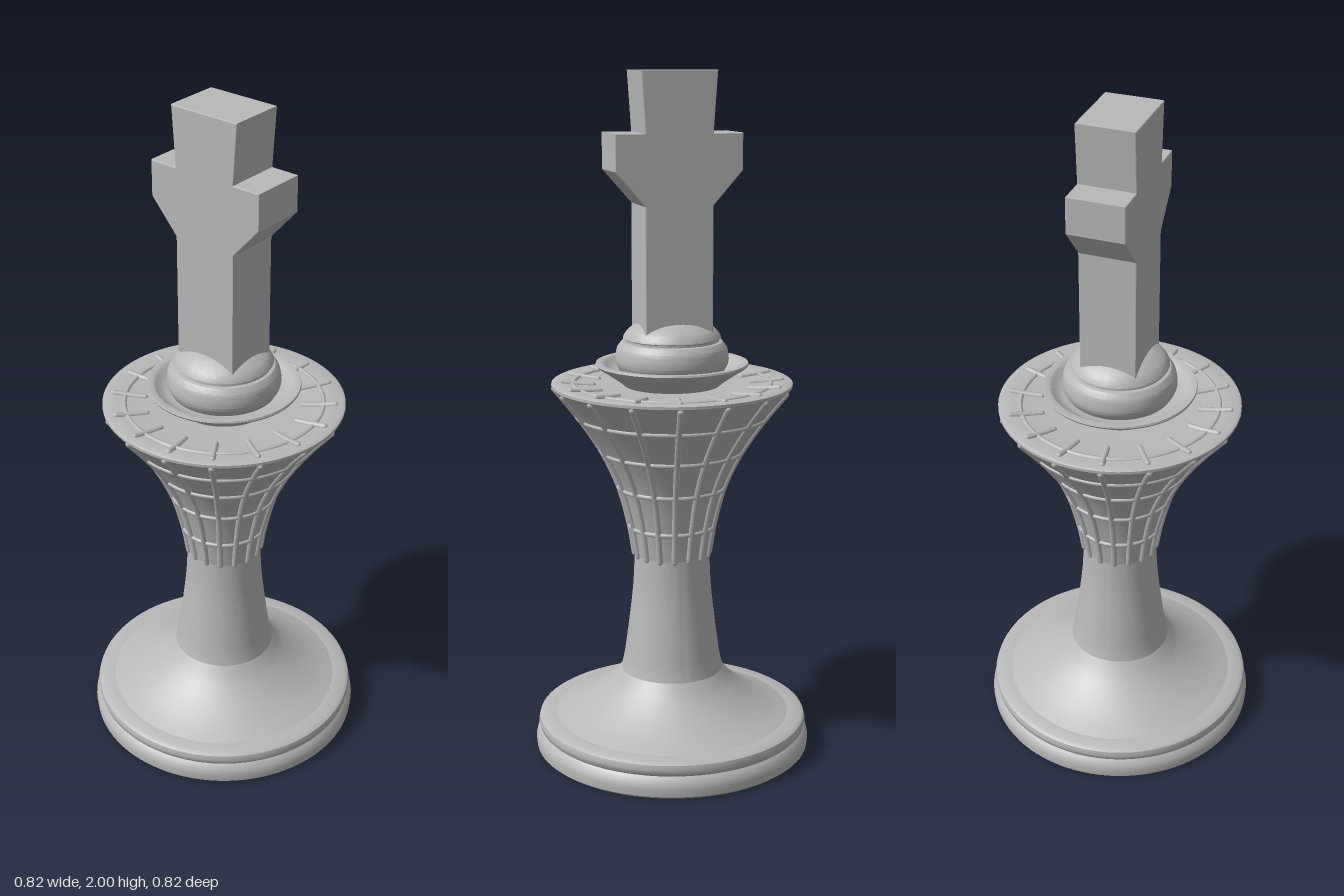
import * as THREE from 'three';
import { toCreasedNormals } from 'three/addons/utils/BufferGeometryUtils.js';

const stone = new THREE.MeshStandardMaterial({ color: 0xb8b8b8 });
stone.name = 'grey stone';

const RIBS = 16;
const vec = (list) => list.map(([r, y]) => new THREE.Vector2(r, y));
const smooth = (list, n = 24) => new THREE.SplineCurve(vec(list)).getPoints(n);

function add(parent, name, geometry) {
  const mesh = new THREE.Mesh(geometry, stone);
  mesh.name = name;
  parent.add(mesh);
  return mesh;
}

// Turned part from a profile that runs upwards, with sharp corners kept
const turned = (points) => toCreasedNormals(new THREE.LatheGeometry(points, 96), 0.6);

// Raised line following a path
const rib = (points) =>
  new THREE.TubeGeometry(new THREE.CatmullRomCurve3(points), 24, 0.009, 8, false);

function ribWithEnds(parent, name, points) {
  add(parent, name, rib(points));
  for (const p of [points[0], points[points.length - 1]]) {
    add(parent, name + 'End', new THREE.SphereGeometry(0.009, 8, 6)).position.copy(p);
  }
}

export function createModel() {
  const model = new THREE.Group();
  model.name = 'chessKing';

  // Stepped foot with two rounded bands
  add(model, 'foot', turned(vec([
    [0, 0], [0.4, 0], [0.41, 0.008], [0.412, 0.03], [0.408, 0.048], [0.398, 0.06],
    [0.394, 0.064], [0.4, 0.07], [0.403, 0.085], [0.399, 0.098], [0.388, 0.105], [0.34, 0.105],
  ])));

  // Sweeping skirt and slim stem
  add(model, 'skirt', turned(smooth([
    [0.352, 0.104], [0.295, 0.128], [0.235, 0.163], [0.185, 0.203], [0.152, 0.242],
  ])));
  add(model, 'stem', turned(smooth([
    [0.152, 0.242], [0.142, 0.29], [0.127, 0.4], [0.116, 0.5], [0.111, 0.6],
  ])));

  // Flared cup
  const flare = [
    [0.111, 0.6], [0.125, 0.685], [0.157, 0.805], [0.208, 0.915], [0.278, 1.02], [0.342, 1.1],
  ];
  add(model, 'cup', turned([
    ...smooth(flare, 32),
    ...vec([[0.35, 1.108], [0.35, 1.116], [0.342, 1.12], [0.29, 1.113], [0.21, 1.108], [0.12, 1.108]]),
  ]));

  // Lattice: upright ribs, radial bars on the top, and hoops
  const lattice = new THREE.Group();
  lattice.name = 'lattice';
  model.add(lattice);
  for (let i = 0; i < RIBS; i++) {
    const spoke = new THREE.Group();
    spoke.name = 'spoke';
    spoke.rotation.y = ((i + 0.5) / RIBS) * Math.PI * 2;
    ribWithEnds(spoke, 'uprightRib', flare.map(([r, y]) => new THREE.Vector3(r, y, 0)));
    ribWithEnds(spoke, 'topBar', [
      new THREE.Vector3(0.23, 1.109, 0), new THREE.Vector3(0.28, 1.112, 0), new THREE.Vector3(0.32, 1.117, 0),
    ]);
    lattice.add(spoke);
  }
  const hoops = [...flare.slice(1, 5), [0.287, 1.112]];
  for (const [r, y] of hoops) {
    const hoop = add(lattice, 'hoop', new THREE.TorusGeometry(r, 0.007, 8, 96));
    hoop.rotation.x = Math.PI / 2;
    hoop.position.y = y;
  }

  // Dished collar
  add(model, 'collar', turned(vec([
    [0.135, 1.105], [0.155, 1.122], [0.19, 1.146], [0.218, 1.164], [0.222, 1.17], [0.22, 1.175],
    [0.203, 1.175], [0.197, 1.172], [0.188, 1.162], [0.165, 1.15], [0.1, 1.15],
  ])));

  // Rounded crown: lower cushion, groove and upper dome
  add(model, 'cushion', turned(smooth([
    [0.15, 1.15], [0.162, 1.172], [0.164, 1.192], [0.159, 1.218], [0.146, 1.236],
  ])));
  add(model, 'dome', turned([
    ...vec([[0.146, 1.236], [0.136, 1.238], [0.136, 1.244], [0.142, 1.247]]),
    ...smooth([[0.14, 1.253], [0.125, 1.272], [0.09, 1.293], [0.045, 1.305], [0, 1.308]]),
  ]));

  // Cross, mirrored outline with tiny bevels
  const half = [
    [0.096, 1.25], [0.096, 1.63], [0.181, 1.726], [0.181, 1.826], [0.095, 1.826], [0.107, 1.997],
  ];
  const outline = new THREE.Shape(vec([...half, ...half.map(([x, y]) => [-x, y]).reverse()]));
  const cross = new THREE.ExtrudeGeometry(outline, {
    depth: 0.16, bevelEnabled: true, bevelThickness: 0.003, bevelSize: 0.003, bevelSegments: 2,
  });
  cross.translate(0, 0, -0.08);
  add(model, 'cross', cross);

  return model;
}
